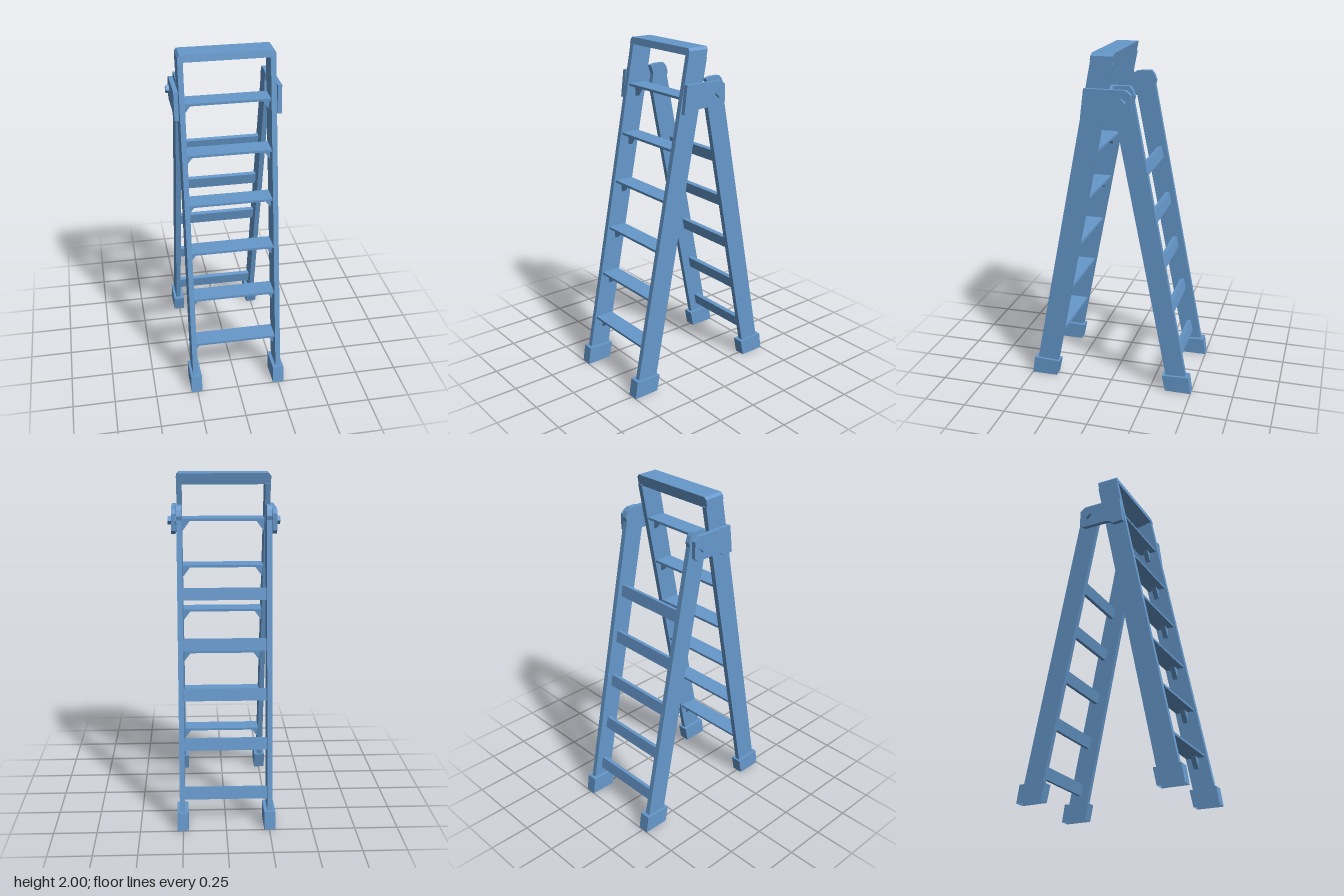
import * as THREE from 'three';

const SLOPE = 0.195; // horizontal run of the legs per unit of height
const TILT = Math.atan(SLOPE);

export function createModel() {
  const model = new THREE.Group();
  model.name = 'stepladder';
  const blue = new THREE.MeshStandardMaterial({ color: 0x6699cc, side: THREE.DoubleSide, flatShading: true });

  function add(name, geometry, parent = model) {
    const mesh = new THREE.Mesh(geometry, blue);
    mesh.name = name;
    parent.add(mesh);
    return mesh;
  }

  function extrude(points, depth) {
    const shape = new THREE.Shape(points.map(([a, b]) => new THREE.Vector2(a, b)));
    return new THREE.ExtrudeGeometry(shape, { depth, bevelEnabled: false });
  }

  // Side profile of [z, y] points, extruded between two x positions
  function profile(points, x0, x1) {
    return extrude(points, x1 - x0).rotateY(-Math.PI / 2).translate(x1, 0, 0);
  }

  // Open-bottomed boot, sloped along the leg; dir is +1 at the front, -1 at the back
  function boot(side, dir) {
    const g = new THREE.BoxGeometry(0.065, 0.1, 0.16);
    const index = Array.from(g.index.array);
    index.splice(18, 6);
    g.setIndex(index);
    g.clearGroups();
    const p = g.attributes.position;
    for (let i = 0; i < p.count; i++) {
      const top = p.getY(i) > 0;
      const outer = p.getZ(i) * dir > 0;
      p.setY(i, top ? (outer ? 0.105 : 0.098) : 0);
      p.setZ(i, dir * (outer ? (top ? 0.484 : 0.5) : (top ? 0.324 : 0.344)));
    }
    g.translate(side * 0.2525, 0, 0);
    g.computeVertexNormals();
    return g;
  }

  const frontLeg = [[0.47, 0.08], [0.104, 1.965], [-0.022, 1.942], [0.341, 0.08]];
  const rearLeg = [[-0.348, 0.08], [-0.024, 1.7], [-0.037, 1.77], [-0.02, 1.822], [-0.06, 1.83],
    [-0.115, 1.83], [-0.132, 1.81], [-0.145, 1.775], [-0.139, 1.75], [-0.47, 0.08]];
  const hinge = [[0.138, 1.81], [-0.1, 1.81], [-0.131, 1.785], [-0.131, 1.69], [-0.108, 1.67],
    [0.05, 1.67], [0.067, 1.665], [0.095, 1.645], [0.158, 1.65]];

  // Legs, boots and hinges on both sides
  for (const side of [1, -1]) {
    const span = (a, b) => (side > 0 ? [a, b] : [-b, -a]);
    add('frontLeg', profile(frontLeg, ...span(0.24, 0.27)));
    add('rearLeg', profile(rearLeg, ...span(0.24, 0.27)));
    add('frontBoot', boot(side, 1));
    add('rearBoot', boot(side, -1));
    add('hingePlate', profile(hinge, ...span(0.275, 0.3)));
    const bolt = add('hingeBolt', new THREE.CylinderGeometry(0.025, 0.025, 0.07, 4));
    bolt.rotation.z = Math.PI / 2;
    bolt.position.set(side * 0.285, 1.743, -0.078);
  }

  // Top cap with chamfered ends, sheared to follow the front legs
  const cap = extrude([[-0.271, 1.95], [0.271, 1.95], [0.271, 1.985], [0.258, 2], [-0.258, 2], [-0.271, 1.985]], 0.128);
  cap.translate(0, 0, -0.028);
  const cp = cap.attributes.position;
  for (let i = 0; i < cp.count; i++) {
    const y = cp.getY(i), z = cp.getZ(i);
    const newY = y < 1.96 ? (z > 0 ? 1.961 : 1.936) : y;
    cp.setY(i, newY);
    cp.setZ(i, z + (2 - newY) * SLOPE);
  }
  cap.computeVertexNormals();
  add('topCap', cap);

  // Front steps with a triangular bracket under each end
  for (let i = 0; i < 6; i++) {
    const step = new THREE.Group();
    step.name = 'step';
    step.position.set(0, 0.3 + i * 0.287, 0.362 - i * 0.287 * SLOPE);
    add('tread', new THREE.BoxGeometry(0.48, 0.014, 0.112).translate(0, -0.007, 0), step);
    for (const side of [1, -1]) {
      const tri = [[side * 0.24, -0.012], [side * 0.19, -0.012], [side * 0.24, -0.08]];
      add('bracket', extrude(tri, 0.03).translate(0, 0, -0.015), step);
    }
    model.add(step);
  }

  // Rear crossbars, tilted with the rear legs
  for (let i = 0; i < 5; i++) {
    const bar = add('rearCrossbar', new THREE.BoxGeometry(0.48, 0.07, 0.027));
    bar.position.set(0, 0.187 + i * 0.287, -0.39 + i * 0.053);
    bar.rotation.x = TILT;
  }
  return model;
}
